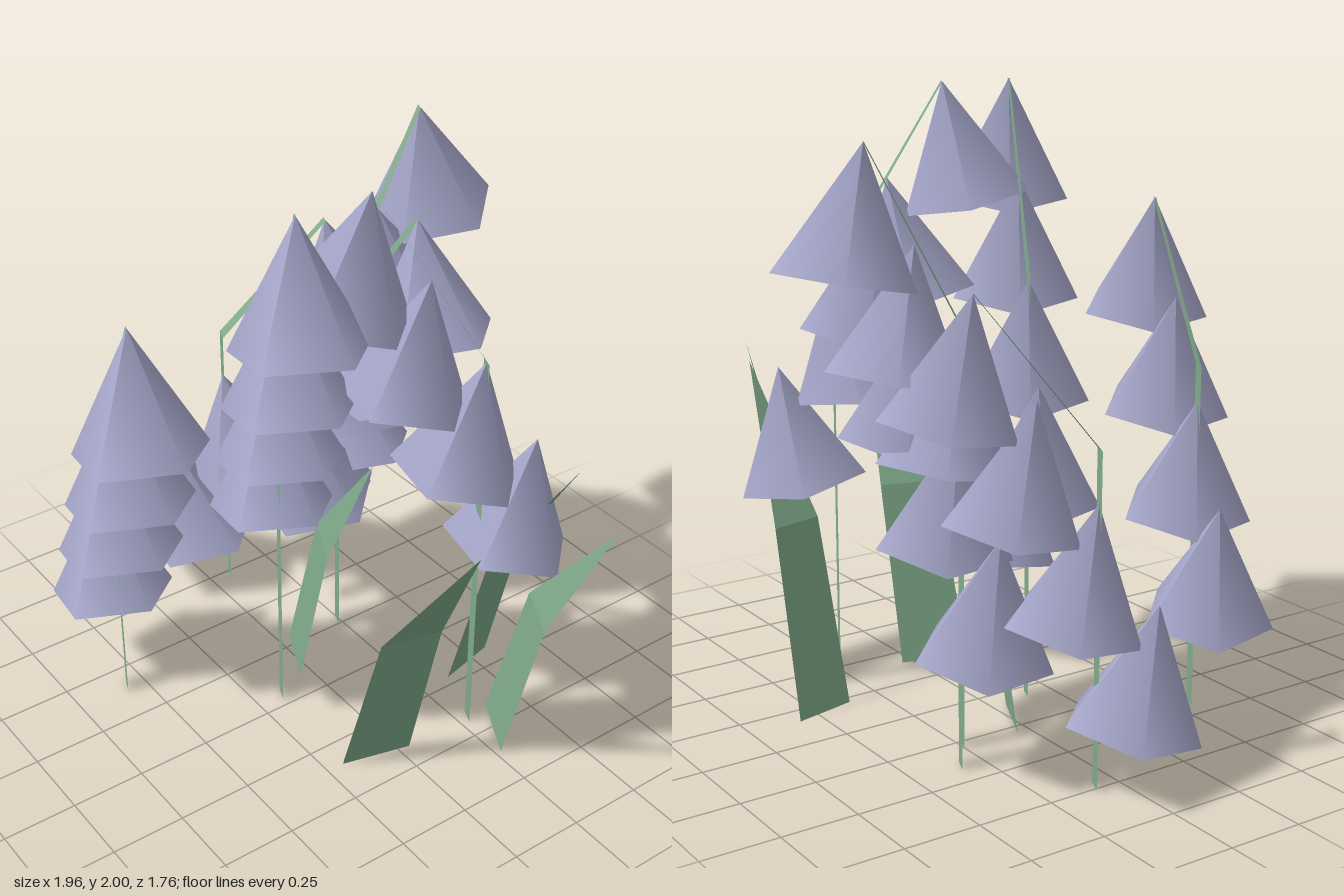
import * as THREE from 'three';

const petal = new THREE.MeshStandardMaterial({ color: 0xa6a7ca, side: THREE.DoubleSide });
petal.name = 'lilac petal';
const green = new THREE.MeshStandardMaterial({ color: 0x80aa8a, side: THREE.DoubleSide });
green.name = 'leaf green';

// Flat strip through sections { p: centre, w: full width vector [x, z] }
function ribbon(name, sections) {
  const pos = [];
  const edge = ({ p, w }, s) => [p[0] + s * w[0] / 2, p[1], p[2] + s * w[1] / 2];
  for (let i = 0; i < sections.length - 1; i++) {
    const a = edge(sections[i], -1), b = edge(sections[i], 1);
    const c = edge(sections[i + 1], 1), d = edge(sections[i + 1], -1);
    pos.push(...a, ...b, ...c, ...a, ...c, ...d);
  }
  const geo = new THREE.BufferGeometry();
  geo.setAttribute('position', new THREE.Float32BufferAttribute(pos, 3));
  geo.computeVertexNormals();
  const mesh = new THREE.Mesh(geo, green);
  mesh.name = name;
  return mesh;
}

// Open five-sided bell with its apex at the origin
const bellGeo = new THREE.ConeGeometry(0.215, 0.39, 5, 1, true);
bellGeo.rotateY(THREE.MathUtils.degToRad(25));
bellGeo.translate(0, -0.195, 0);

// Stem rises straight, bends at 70% of its height, and carries four hanging bells
function createFlower([bx, bz], [tx, ty, tz]) {
  const flower = new THREE.Group();
  flower.name = 'flower';
  flower.add(ribbon('stem', [
    { p: [bx, 0, bz], w: [0.05, 0.02] },
    { p: [bx, ty * 0.7, bz], w: [0.05, 0.02] },
    { p: [tx, ty, tz], w: [0.028, 0.011] },
  ]));
  const lean = new THREE.Vector3(tx - bx, 0, tz - bz);
  const out = lean.clone().normalize();
  const up = new THREE.Vector3(0, Math.cos(0.2), 0).addScaledVector(out, -Math.sin(0.2));
  for (let i = 0; i < 4; i++) {
    const bell = new THREE.Mesh(bellGeo, petal);
    bell.name = 'bell';
    bell.position.set(tx, ty - 0.302 * i, tz).addScaledVector(lean, -0.5 * i);
    bell.quaternion.setFromUnitVectors(new THREE.Vector3(0, 1, 0), up);
    flower.add(bell);
  }
  return flower;
}

// Blade leaf leaning towards +x, with a pointed tip
function createLeaf([x, z], w, tipX, tipZ) {
  return ribbon('leaf', [
    { p: [x, 0, z], w },
    { p: [x + 0.165, 0.6, z], w: [w[0] * 0.85, w[1] * 0.85] },
    { p: [tipX, 1.08, tipZ], w: [0, 0] },
  ]);
}

export function createModel() {
  const model = new THREE.Group();
  model.name = 'bellFlowers';

  // Flowers: stem foot [x, z], stem tip [x, y, z]
  const flowers = [
    [[-0.735, -0.08], [-0.525, 1.475, -0.37]],
    [[-0.395, -0.33], [-0.035, 1.67, -0.37]],
    [[-0.27, -0.24], [-0.32, 1.89, -0.595]],
    [[-0.055, 0.155], [0.28, 2.0, 0.31]],
    [[0.41, -0.29], [0.28, 2.0, 0.05]],
    [[-0.405, 0.565], [-0.05, 1.62, 0.665]],
  ];
  for (const [foot, tip] of flowers) model.add(createFlower(foot, tip));

  // Leaves: foot [x, z], width vector, tip x, tip z
  const leaves = [
    [[-0.195, 0.0], [0.21, 0.1], 0.28, 0.03],
    [[0.19, -0.47], [0.05, 0.21], 0.67, -0.465],
    [[0.38, 0.075], [-0.06, 0.23], 0.835, 0.07],
    [[0.505, -0.325], [0.21, 0.11], 0.975, -0.325],
  ];
  for (const leaf of leaves) model.add(createLeaf(...leaf));

  return model;
}
